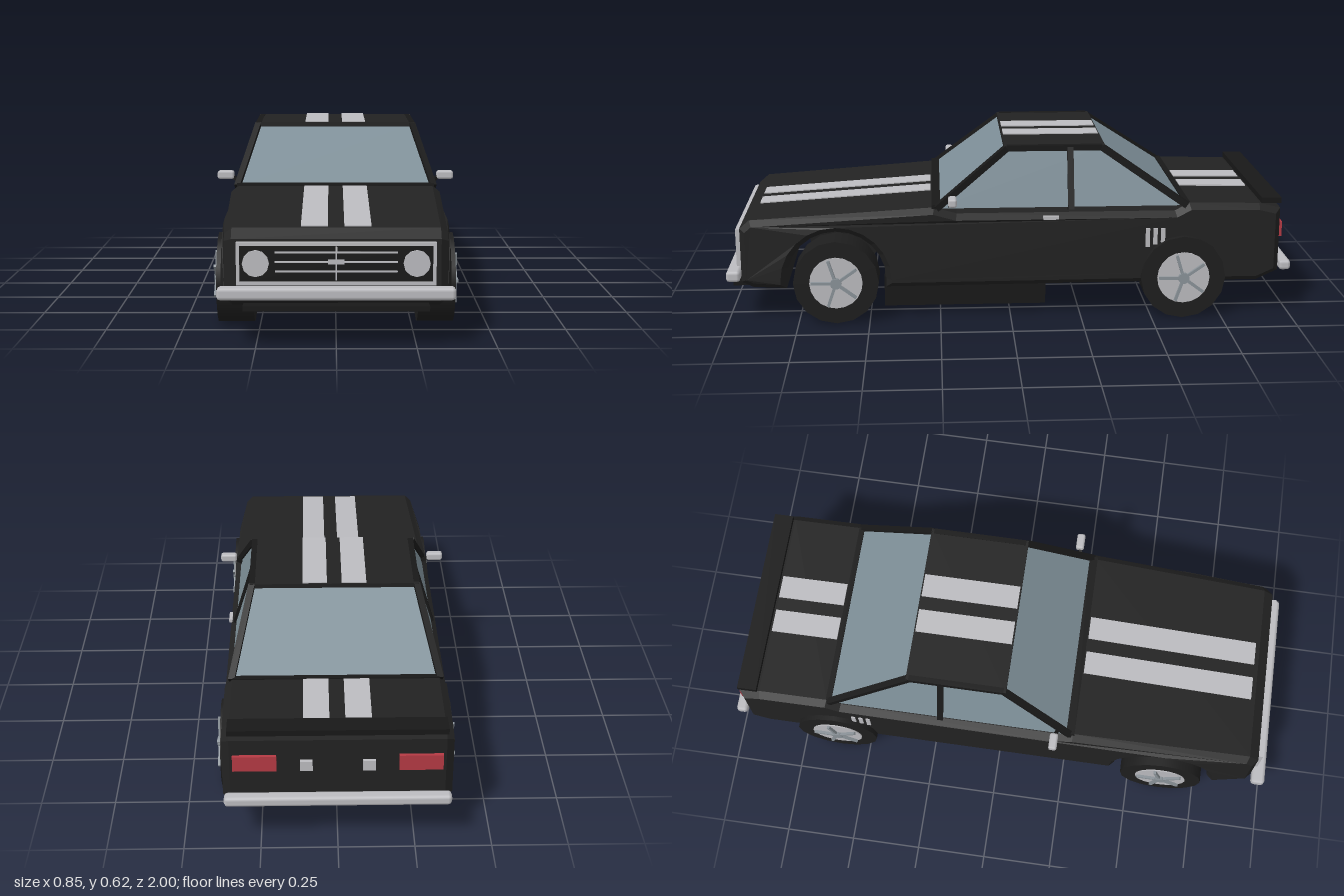
import * as THREE from 'three';
import { RoundedBoxGeometry } from 'three/addons/geometries/RoundedBoxGeometry.js';

const mat = (name, color, extra = {}) => {
  const m = new THREE.MeshStandardMaterial({ color, ...extra });
  m.name = name;
  return m;
};

export function createModel() {
  const car = new THREE.Group();
  car.name = 'car';
  const paint = mat('black paint', 0x222222);
  const trim = mat('dark trim', 0x181818);
  const rubber = mat('tyre rubber', 0x1e1e1e);
  const silver = mat('silver', 0xbcbcc0);
  const spokeGrey = mat('spoke grey', 0x8b9399);
  const red = mat('tail light red', 0xb53a44);
  const glass = mat('window glass', 0x7d8e97, { side: THREE.DoubleSide });

  const add = (name, geo, material, x = 0, y = 0, z = 0, parent = car) => {
    const m = new THREE.Mesh(geo, material);
    m.name = name;
    m.position.set(x, y, z);
    parent.add(m);
    return m;
  };
  const box = (name, material, w, h, d, x, y, z, parent) =>
    add(name, new THREE.BoxGeometry(w, h, d), material, x, y, z, parent);

  // Square bar between two points
  const bar = (name, a, b, w, material) => {
    const A = new THREE.Vector3(...a), B = new THREE.Vector3(...b);
    const m = add(name, new THREE.BoxGeometry(w, w, A.distanceTo(B)), material);
    m.position.copy(A).add(B).multiplyScalar(0.5);
    m.lookAt(B);
    return m;
  };

  // Flat four-cornered panel
  const panel = (name, corners, material) => {
    const g = new THREE.BufferGeometry();
    g.setAttribute('position', new THREE.Float32BufferAttribute(corners.flat(), 3));
    g.setIndex([0, 1, 2, 0, 2, 3]);
    g.computeVertexNormals();
    return add(name, g, material);
  };

  // Body: side profile with open front wheel arches, chamfered at the flanks
  const s = new THREE.Shape();
  s.moveTo(0.95, 0.14);
  s.lineTo(0.95, 0.335);
  s.lineTo(0.915, 0.365);
  s.lineTo(0.27, 0.408);
  s.lineTo(0.19, 0.385);
  s.lineTo(-0.58, 0.385);
  s.lineTo(-0.63, 0.412);
  s.lineTo(-0.88, 0.408);
  s.lineTo(-0.955, 0.39);
  s.lineTo(-0.955, 0.16);
  s.lineTo(-0.88, 0.125);
  s.lineTo(0.44, 0.12);
  const arch = [];
  for (let i = 0; i <= 12; i++) {
    const t = (i / 12) * Math.PI;
    arch.push([0.615 - 0.175 * Math.cos(t), 0.15 + 0.175 * Math.sin(t)]);
  }
  arch.forEach(([z, y]) => s.lineTo(z, y));
  s.lineTo(0.79, 0.12);
  s.lineTo(0.91, 0.12);
  const bodyGeo = new THREE.ExtrudeGeometry(s, {
    depth: 0.69, bevelEnabled: true, bevelSize: 0.02, bevelThickness: 0.025,
    bevelOffset: -0.02, bevelSegments: 1,
  });
  bodyGeo.translate(0, 0, -0.345).rotateY(-Math.PI / 2);
  // Narrow the nose
  const p = bodyGeo.attributes.position;
  for (let i = 0; i < p.count; i++) if (p.getZ(i) > 0.86) p.setX(i, p.getX(i) * 0.945);
  bodyGeo.computeVertexNormals();
  add('body', bodyGeo, paint);
  box('underbody', trim, 0.53, 0.11, 0.58, 0, 0.075, 0.16);
  box('frontLip', trim, 0.58, 0.015, 0.075, 0, 0.122, 0.947);
  box('rearSpoiler', trim, 0.7, 0.02, 0.07, 0, 0.418, -0.922);
  box('cowl', trim, 0.7, 0.022, 0.03, 0, 0.406, 0.262);

  // Cabin: roof, glass and pillars
  const zF = 0.262, zR = -0.622, tF = 0.012, tR = -0.325, yB = 0.404, yT = 0.603, xB = 0.348, xT = 0.284;
  box('roof', paint, 0.585, 0.018, 0.355, 0, 0.603, -0.157);
  panel('windscreen', [[-xB, yB, zF], [xB, yB, zF], [xT, yT, tF], [-xT, yT, tF]], glass);
  panel('rearWindow', [[xB, yB, zR], [-xB, yB, zR], [-xT, yT, tR], [xT, yT, tR]], glass);
  box('rearWindowSill', trim, 0.69, 0.014, 0.02, 0, 0.409, zR);
  for (const k of [1, -1]) {
    panel('sideWindow', [[k * xB, yB, zF], [k * xB, yB, zR], [k * xT, yT, tR], [k * xT, yT, tF]], glass);
    bar('frontPillar', [k * xB, yB, zF], [k * xT, yT, tF], 0.022, trim);
    bar('rearPillar', [k * xB, yB, zR], [k * xT, yT, tR], 0.022, trim);
    bar('middlePillar', [k * xB, yB - 0.01, -0.212], [k * xT, yT, -0.212], 0.022, trim);
    bar('roofRail', [k * xT, yT, tF], [k * xT, yT, tR], 0.02, trim);
  }

  // Racing stripes, as thin plates on bonnet, roof and boot
  for (const k of [1, -1]) {
    const x = k * 0.068;
    const hood = box('hoodStripe', silver, 0.085, 0.006, 0.62, x, 0.3875, 0.59);
    hood.rotation.x = Math.atan2(0.043, 0.645);
    box('roofStripe', silver, 0.085, 0.006, 0.345, x, 0.6125, -0.157);
    const boot = box('bootStripe', silver, 0.085, 0.006, 0.245, x, 0.411, -0.757);
    boot.rotation.x = -0.016;
  }

  // Bumpers
  add('frontBumper', new RoundedBoxGeometry(0.74, 0.04, 0.05, 1, 0.012), silver, 0, 0.17, 0.975);
  add('rearBumper', new RoundedBoxGeometry(0.73, 0.036, 0.042, 1, 0.012), silver, 0, 0.18, -0.979);

  // Grille with frame, bars and headlights
  box('grilleBack', trim, 0.61, 0.125, 0.008, 0, 0.26, 0.951);
  for (const k of [1, -1]) {
    box('grilleFrame', silver, 0.62, 0.01, 0.02, 0, 0.26 + k * 0.062, 0.957);
    box('grilleFrame', silver, 0.01, 0.134, 0.02, k * 0.305, 0.26, 0.957);
    const lamp = add('headlight', new THREE.CylinderGeometry(0.042, 0.042, 0.014, 12), silver, k * 0.25, 0.26, 0.957);
    lamp.rotation.x = Math.PI / 2;
  }
  for (const y of [0.235, 0.265, 0.295]) box('grilleBar', silver, 0.38, 0.005, 0.01, 0, y, 0.957);
  box('grilleUpright', silver, 0.006, 0.105, 0.012, 0, 0.26, 0.957);
  box('grilleCentre', silver, 0.05, 0.013, 0.014, 0, 0.265, 0.958);

  // Rear lights, mirrors and side vents
  for (const k of [1, -1]) {
    box('tailLight', red, 0.14, 0.055, 0.014, k * 0.265, 0.308, -0.96);
    box('reversingLight', silver, 0.04, 0.036, 0.014, k * 0.1, 0.298, -0.96);
    add('mirror', new RoundedBoxGeometry(0.06, 0.03, 0.03, 1, 0.008), silver, k * 0.393, 0.44, 0.205);
    bar('mirrorArm', [k * 0.34, 0.41, 0.215], [k * 0.37, 0.435, 0.205], 0.012, trim);
    for (let i = 0; i < 3; i++)
      box('sideVent', silver, 0.006, 0.068 - i * 0.008, 0.015, k * 0.371, 0.294 + i * 0.004, -0.482 - i * 0.027);
  }
  box('doorHandle', silver, 0.012, 0.012, 0.055, 0.372, 0.372, -0.14);

  // Wheels, axle along x
  for (const k of [1, -1]) for (const z of [0.615, -0.61]) {
    const wheel = new THREE.Group();
    wheel.name = 'wheel';
    wheel.position.set(k * 0.328, 0.15, z);
    wheel.rotation.y = k > 0 ? 0 : Math.PI;
    car.add(wheel);
    const disc = (name, r, w, x, n, m) =>
      add(name, new THREE.CylinderGeometry(r, r, w, n).rotateZ(Math.PI / 2), m, x, 0, 0, wheel);
    disc('tyre', 0.15, 0.12, 0, 16, rubber);
    disc('hubDisc', 0.093, 0.008, 0.06, 20, silver);
    disc('hubCap', 0.02, 0.016, 0.068, 10, spokeGrey);
    for (let i = 0; i < 5; i++) {
      const arm = new THREE.Group();
      arm.name = 'spoke';
      arm.rotation.x = (i / 5) * Math.PI * 2 + 0.3;
      wheel.add(arm);
      box('spokeBar', spokeGrey, 0.012, 0.075, 0.01, 0.068, 0.05, 0, arm);
    }
  }
  return car;
}
